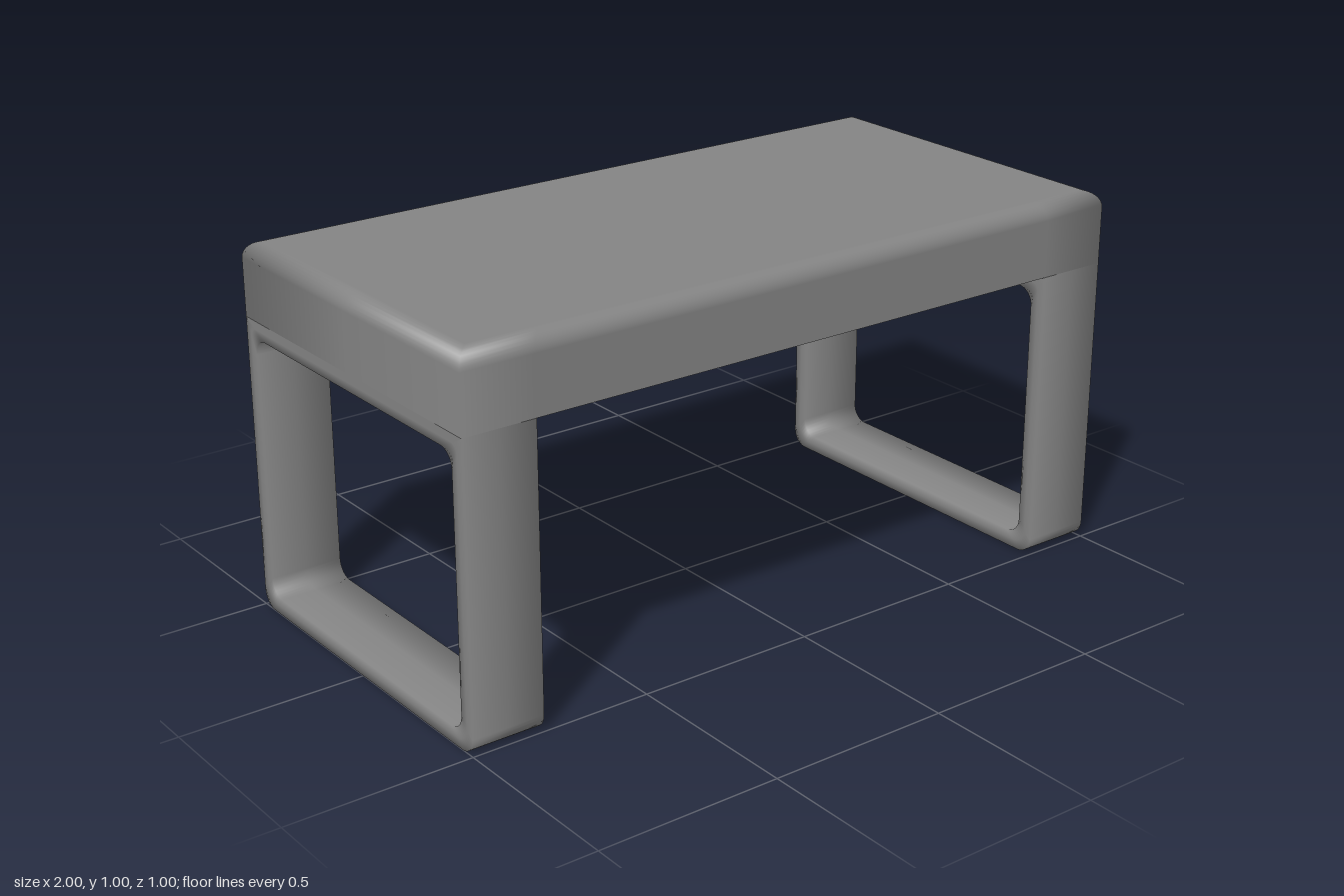
import * as THREE from 'three';

const HALF_W = 1, HALF_D = 0.5, TOP = 1, UNDER = 0.8; // overall sizes
const BAR = 0.045, LEG_W = 0.2, R = 0.045;            // leg bar thickness, leg width, edge radius
const STEPS = 8;                                      // segments per rounded corner

const material = new THREE.MeshStandardMaterial({ color: 0x848484 });

// Slab whose rows roll inwards along a quarter circle at the top edge,
// with soft shading around the upright corners and a flat underside
function tabletopGeometry() {
  const rows = STEPS + 1;
  const geo = new THREE.BoxGeometry(2, 1, 2, 10, rows, 2);
  const pos = geo.attributes.position, normal = geo.attributes.normal;
  const n = new THREE.Vector3();
  for (let i = 0; i < pos.count; i++) {
    const bx = pos.getX(i), bz = pos.getZ(i);
    const row = Math.round((pos.getY(i) + 0.5) * rows);
    const a = Math.max(0, row - 1) / STEPS * Math.PI / 2;
    const inset = R * (1 - Math.cos(a));
    const y = row === 0 ? UNDER : TOP - R + R * Math.sin(a);
    pos.setXYZ(i, bx * (HALF_W - inset), y, bz * (HALF_D - inset));
    if (Math.abs(normal.getY(i)) < 0.5) {
      const hx = Math.trunc(bx * 1.001), hz = Math.trunc(bz * 1.001); // non-zero on the outer walls
      n.set(hx * Math.cos(a), Math.sin(a), hz * Math.cos(a)).normalize();
      normal.setXYZ(i, n.x, n.y, n.z);
    }
  }
  return geo;
}

// Closed loop leg: a softly shaded bar swept round a rounded rectangle,
// square on the outside where it meets the slab
function legGeometry() {
  // Bar section: side, depth from outer (0) to inner (1) face, sideways and outward normal
  const section = [
    [-1, 0, -1, 1], [0, 0, 0, 1], [1, 0, 1, 1], [1, 0.5, 1, 0],
    [1, 1, 1, -1], [0, 1, 0, -1], [-1, 1, -1, -1], [-1, 0.5, -1, 0],
  ];
  const positions = [], normals = [], index = [];
  const n = new THREE.Vector3();
  for (let corner = 0; corner < 4; corner++) {
    const sz = corner === 0 || corner === 3 ? 1 : -1;
    const upper = corner < 2;
    for (let s = 0; s <= STEPS; s++) {
      const a = (corner + s / STEPS) * Math.PI / 2;
      const cos = Math.cos(a), sin = Math.sin(a);
      // Point on the corner arc of the outline inset by d
      const at = (d, r) => [
        sz * (HALF_D - d - r) + r * cos,
        (upper ? UNDER - d - r : d + r) + r * sin,
      ];
      const outer = at(0, upper ? 0 : R), inner = at(BAR, R);
      for (const [side, t, nx, out] of section) {
        positions.push(
          side * LEG_W / 2,
          THREE.MathUtils.lerp(outer[1], inner[1], t),
          THREE.MathUtils.lerp(outer[0], inner[0], t),
        );
        // The outer face runs on into the slab, so it never turns upwards
        n.set(nx, out * (t === 0 ? Math.min(sin, 0) : sin), out * cos).normalize();
        normals.push(n.x, n.y, n.z);
      }
    }
  }
  const m = section.length, rings = 4 * (STEPS + 1);
  for (let i = 0; i < rings; i++) {
    for (let j = 0; j < m; j++) {
      const next = (i + 1) % rings, k = (j + 1) % m;
      const a = i * m + j, b = i * m + k, c = next * m + k, d = next * m + j;
      index.push(a, b, c, a, c, d);
    }
  }
  const geo = new THREE.BufferGeometry();
  geo.setAttribute('position', new THREE.Float32BufferAttribute(positions, 3));
  geo.setAttribute('normal', new THREE.Float32BufferAttribute(normals, 3));
  geo.setIndex(index);
  return geo;
}

export function createModel() {
  const table = new THREE.Group();
  table.name = 'table';

  const top = new THREE.Mesh(tabletopGeometry(), material);
  top.name = 'tabletop';
  table.add(top);

  const legGeo = legGeometry();
  for (const [name, side] of [['leftLeg', 1], ['rightLeg', -1]]) {
    const leg = new THREE.Mesh(legGeo, material);
    leg.name = name;
    leg.position.x = side * (HALF_W - LEG_W / 2);
    table.add(leg);
  }
  return table;
}
